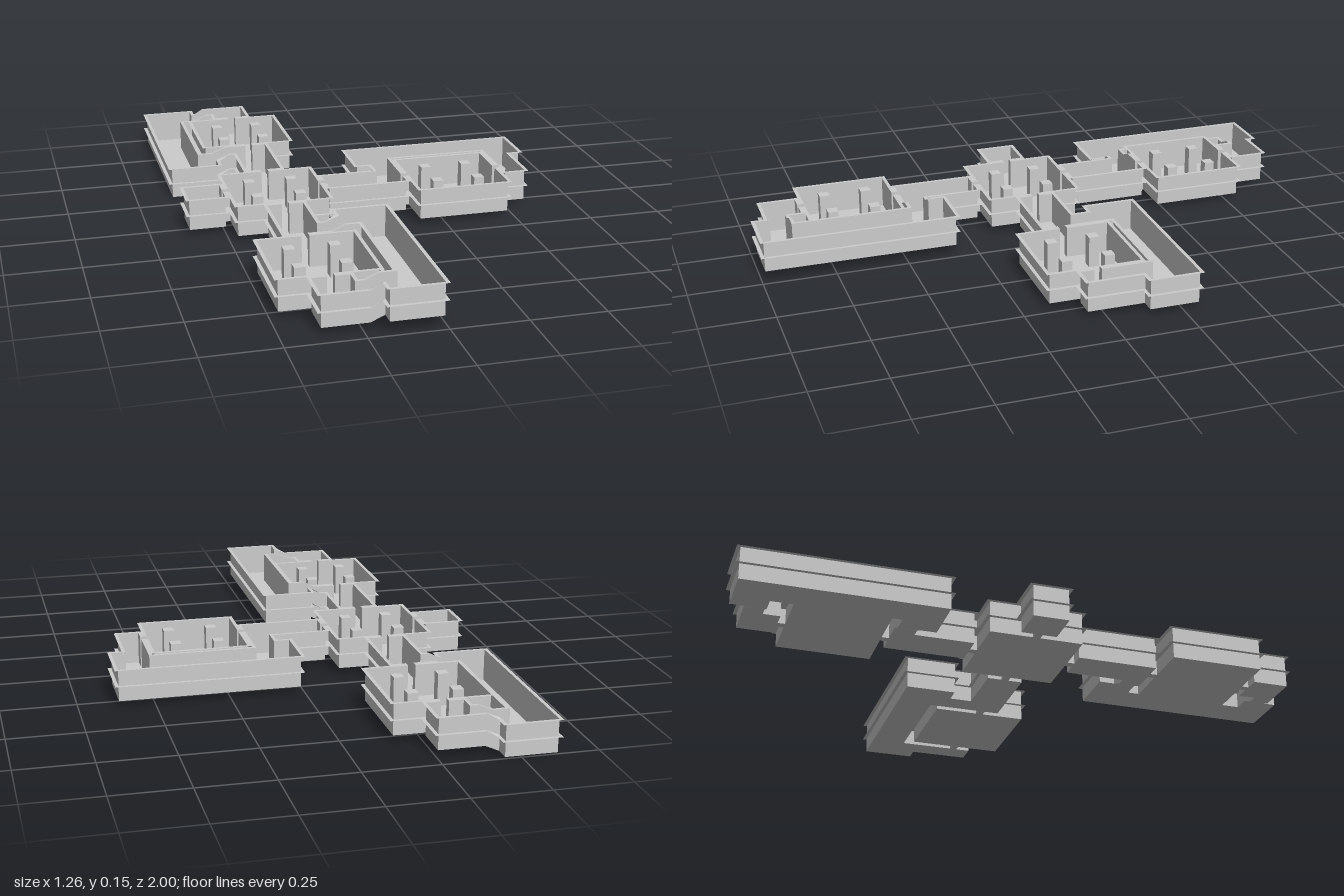
import * as THREE from 'three';

const BASE = 0.02;      // floor level
const MID = 0.052;      // ledge heights above the floor
const HIGH = 0.108;
const LEDGE = 0.012;    // ledge width
const R = 0.157;        // half a room
const DOOR = 0.0125;    // half a doorway
const DEPTH = 0.024;    // doorway depth
const C = 0.06;         // half a passage
const E = R + DEPTH;    // where a passage begins
const FAR = 0.635;      // distance from the hub to the outer rooms

const material = new THREE.MeshStandardMaterial({ color: 0xcccccc, side: THREE.DoubleSide, flatShading: true });
const flat = () => BASE;

function addMesh(parent, name, geometry) {
  const mesh = new THREE.Mesh(geometry, material);
  mesh.name = name;
  parent.add(mesh);
  return mesh;
}

// Sheet spanned between two rows of [x, y, z] points
function addStrip(parent, name, a, b) {
  const pos = [];
  for (let i = 0; i < a.length - 1; i++) {
    pos.push(...a[i], ...b[i + 1], ...a[i + 1], ...a[i], ...b[i], ...b[i + 1]);
  }
  const geometry = new THREE.BufferGeometry();
  geometry.setAttribute('position', new THREE.Float32BufferAttribute(pos, 3));
  geometry.computeVertexNormals();
  addMesh(parent, name, geometry);
}

// Mitred copy of a path, moved to its right-hand side
function offsetPath(path, d) {
  const normals = path.slice(1).map(([x, z], i) => {
    const dx = x - path[i][0], dz = z - path[i][1], l = Math.hypot(dx, dz);
    return [-dz / l, dx / l];
  });
  return path.map(([x, z], i) => {
    const m = normals[Math.max(i - 1, 0)], n = normals[Math.min(i, normals.length - 1)];
    const s = d / (1 + m[0] * n[0] + m[1] * n[1]);
    return [x + (m[0] + n[0]) * s, z + (m[1] + n[1]) * s];
  });
}

// Wall along a path (inside on the left) with a middle and a top ledge outside
function addWall(parent, points, level = flat) {
  const path = points.filter((p, i) => !i || Math.hypot(p[0] - points[i - 1][0], p[1] - points[i - 1][1]) > 1e-6);
  const out = offsetPath(path, LEDGE);
  const row = (pts, h) => pts.map(([x, z], i) => [x, level(path[i][0]) + h, z]);
  addStrip(parent, 'wall', row(path, 0), row(path, HIGH));
  addStrip(parent, 'middleLedge', row(path, MID), row(out, MID));
  addStrip(parent, 'topLedge', row(path, HIGH), row(out, HIGH));
}

function addFloor(parent, x0, x1, z0, z1, level = flat) {
  addStrip(parent, 'floor',
    [[x0, level(x0), z0], [x1, level(x1), z0]],
    [[x0, level(x0), z1], [x1, level(x1), z1]]);
}

// Square room; doors lists sides: 0 south, 1 east, 2 north, 3 west
function makeRoom(name, x, z, doors) {
  const room = new THREE.Group();
  room.name = name;
  room.position.set(x, 0, z);
  const turn = ([px, pz], k) => {
    for (let i = 0; i < k; i++) [px, pz] = [pz, -px];
    return [px, pz];
  };
  // Walls from doorway to doorway
  let path = [];
  for (let i = 0; i <= 4; i++) {
    const k = (doors[0] + i) % 4;
    if (doors.includes(k)) {
      if (i) {
        path.push(turn([-DOOR, R], k));
        addWall(room, path);
      }
      path = [turn([DOOR, R], k)];
    }
    path.push(turn([R, R], k));
  }
  addFloor(room, -R, R, -R, R);
  // Doorways
  for (const k of doors) {
    const door = new THREE.Group();
    door.name = 'doorway';
    door.rotation.y = k * Math.PI / 2;
    for (const s of [-DOOR, DOOR]) {
      addStrip(door, 'doorJamb',
        [[s, BASE, R], [s, BASE, R + DEPTH]],
        [[s, BASE + HIGH, R], [s, BASE + HIGH, R + DEPTH]]);
    }
    addFloor(door, -DOOR, DOOR, R, R + DEPTH);
    room.add(door);
  }
  // Four pillars
  for (const px of [-0.074, 0.074]) for (const pz of [-0.074, 0.074]) {
    addMesh(room, 'pillar', new THREE.BoxGeometry(0.036, HIGH, 0.036))
      .position.set(px, BASE + HIGH / 2, pz);
  }
  return room;
}

// Passage running north from the hub and looping round the west of an outer room.
// edge, bulk and inner set how far the loop reaches; drop shifts the level of the gallery.
function makePassage(name, angle, drop, edge, bulk, inner) {
  const g = new THREE.Group();
  g.name = name;
  g.rotation.y = angle;
  const r0 = -0.09, r1 = -0.135, west = -0.304, gal = -0.19;
  const near = -(FAR - R - DEPTH), far = -(FAR + R + DEPTH);
  const step = -0.381, low = -0.328;
  const level = x => BASE + drop * THREE.MathUtils.clamp((r0 - x) / (r0 - r1), 0, 1);

  // Outer side
  addWall(g, [[DOOR, far], [C, far], [C, -edge], [r0, -edge], [r1, -edge], [r1, -bulk],
    [west, -bulk], [west, low], [r1, low], [r1, step], [r0, step], [-C, step], [-C, -E], [-DOOR, -E]], level);
  // Side facing the room
  addWall(g, [[-DOOR, near], [r0, near], [r1, near], [gal, near], [gal, -inner],
    [r1, -inner], [r0, -inner], [-C, -inner], [-C, far], [-DOOR, far]], level);
  // East side of the straight run
  addWall(g, [[DOOR, -E], [C, -E], [C, near], [DOOR, near]], level);

  // Gallery, ramps and level runs
  const floors = [
    [west, gal, -bulk, low],
    [gal, r1, -bulk, -inner], [gal, r1, near, low],
    [r1, r0, -edge, -inner], [r1, r0, near, step],
    [r0, -C, -edge, -inner], [r0, -C, near, step],
    [-C, C, -edge, far], [-C, C, near, -E],
  ];
  for (const f of floors) addFloor(g, ...f, level);
  return g;
}

export function createModel() {
  const model = new THREE.Group();
  model.name = 'roomComplex';
  const plan = new THREE.Group();
  plan.name = 'floorPlan';
  plan.position.x = -0.316;
  model.add(plan);

  plan.add(
    makeRoom('hubRoom', 0, 0, [0, 1, 2, 3]),
    makeRoom('northRoom', 0, -FAR, [0, 2]),
    makeRoom('southRoom', 0, FAR, [0, 2]),
    makeRoom('eastRoom', FAR, 0, [1, 3]),
    makePassage('northPassage', 0, -0.02, 0.937, 0.988, 0.872),
    makePassage('southPassage', Math.PI, 0.02, 0.937, 0.988, 0.872),
    makePassage('eastPassage', -Math.PI / 2, 0, 0.887, 0.935, 0.816),
  );

  // Dead-end alcove west of the hub
  const alcove = new THREE.Group();
  alcove.name = 'westAlcove';
  addWall(alcove, [[-E, -DOOR], [-E, -C], [-0.304, -C], [-0.304, C], [-E, C], [-E, DOOR]]);
  addFloor(alcove, -0.304, -E, -C, C);
  plan.add(alcove);
  return model;
}
